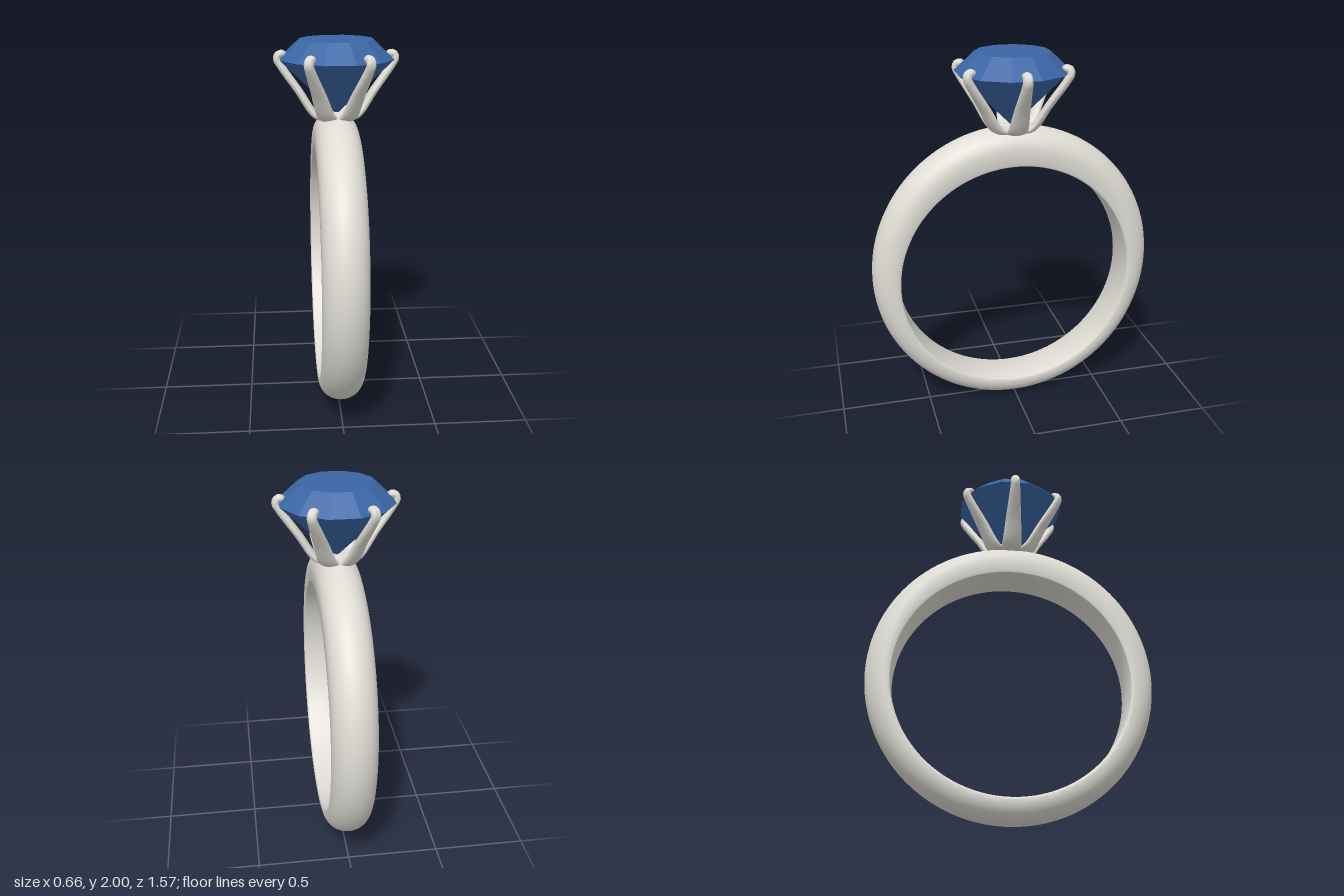
import * as THREE from 'three';
import { toCreasedNormals } from 'three/addons/utils/BufferGeometryUtils.js';

// Skin a list of cross-sections (arrays of Vector3, each a closed outline)
function loft(sections, closed, crease) {
  const n = sections[0].length, rows = sections.length, index = [];
  for (let i = 0; i < (closed ? rows : rows - 1); i++) {
    const a = i * n, b = ((i + 1) % rows) * n;
    for (let j = 0; j < n; j++) {
      const k = (j + 1) % n;
      index.push(a + j, b + j, a + k, b + j, b + k, a + k);
    }
  }
  const g = new THREE.BufferGeometry().setFromPoints(sections.flat());
  g.setIndex(index);
  return toCreasedNormals(g, crease);
}

// Band: flat inside, domed outside, thicker towards the top
function bandGeometry() {
  const inner = 0.643, centreY = 0.768, W = 0.118, f = 0.014;
  const sections = [];
  for (let i = 0; i < 128; i++) {
    const th = (i / 128) * Math.PI * 2, s = Math.sin(th);
    const t = 0.142 + 0.0375 * s + 0.0205 * s * s;
    const h = Math.min(0.116, t - f - 0.003);
    const outline = [];
    for (let k = 0; k <= 20; k++) {
      const a = (k / 20) * Math.PI;
      outline.push([W * Math.cos(a), t - h + h * Math.sin(a)]);
    }
    outline.push([-W, f], [-W + f * 0.3, f * 0.3], [-W + f, 0], [0, 0],
      [W - f, 0], [W - f * 0.3, f * 0.3], [W, f]);
    sections.push(outline.map(([x, d]) =>
      new THREE.Vector3(x, centreY + (inner + d) * s, (inner + d) * Math.cos(th))));
  }
  return loft(sections, true, 0.7);
}

// Prong: path points hold radius, height and half width
function prongGeometry() {
  const path = new THREE.CatmullRomCurve3([
    [0.01, 1.597, 0.05], [0.07, 1.594, 0.058], [0.113, 1.606, 0.056], [0.2, 1.733, 0.043],
    [0.295, 1.87, 0.028], [0.31, 1.9, 0.026], [0.301, 1.922, 0.025],
    [0.28, 1.925, 0.025], [0.262, 1.916, 0.024],
  ].map((p) => new THREE.Vector3(...p)));
  const sections = [], steps = 48, sides = 16;
  for (let i = 0; i <= steps; i++) {
    const u = i / steps, p = path.getPointAt(u), d = path.getTangentAt(u);
    const len = Math.hypot(d.x, d.y);
    const e = Math.min(1, (1 - u) / 0.05);
    const round = Math.max(0.01, Math.sqrt(1 - (1 - e) ** 2));
    const outline = [];
    for (let j = 0; j < sides; j++) {
      const a = (j / sides) * Math.PI * 2;
      const off = 0.021 * round * Math.cos(a);
      outline.push(new THREE.Vector3(p.x + off * d.y / len, p.y - off * d.x / len,
        p.z * round * Math.sin(a)));
    }
    sections.push(outline);
  }
  return loft(sections, false, 1.2);
}

export function createModel() {
  const model = new THREE.Group();
  model.name = 'ring';
  const metal = new THREE.MeshStandardMaterial({ color: 0xdedcd4 });
  const blue = new THREE.MeshStandardMaterial({ color: 0x3a66a5, flatShading: true });

  const add = (name, geometry, material, parent = model) => {
    const mesh = new THREE.Mesh(geometry, material);
    mesh.name = name;
    parent.add(mesh);
    return mesh;
  };

  add('band', bandGeometry(), metal);

  // Six prongs hooked over the edge of the stone
  const setting = new THREE.Group();
  setting.name = 'setting';
  model.add(setting);
  const prong = prongGeometry();
  for (let i = 0; i < 6; i++) {
    add('prong', prong, metal, setting).rotation.y = (i * Math.PI) / 3;
  }

  // Twelve-sided cut stone: pavilion, crown and flat table
  const cut = [[0, 1.605], [0.305, 1.9], [0.197, 2], [0, 2]]
    .map(([r, y]) => new THREE.Vector2(r, y));
  add('gemstone', new THREE.LatheGeometry(cut, 12, Math.PI / 12), blue);

  return model;
}
